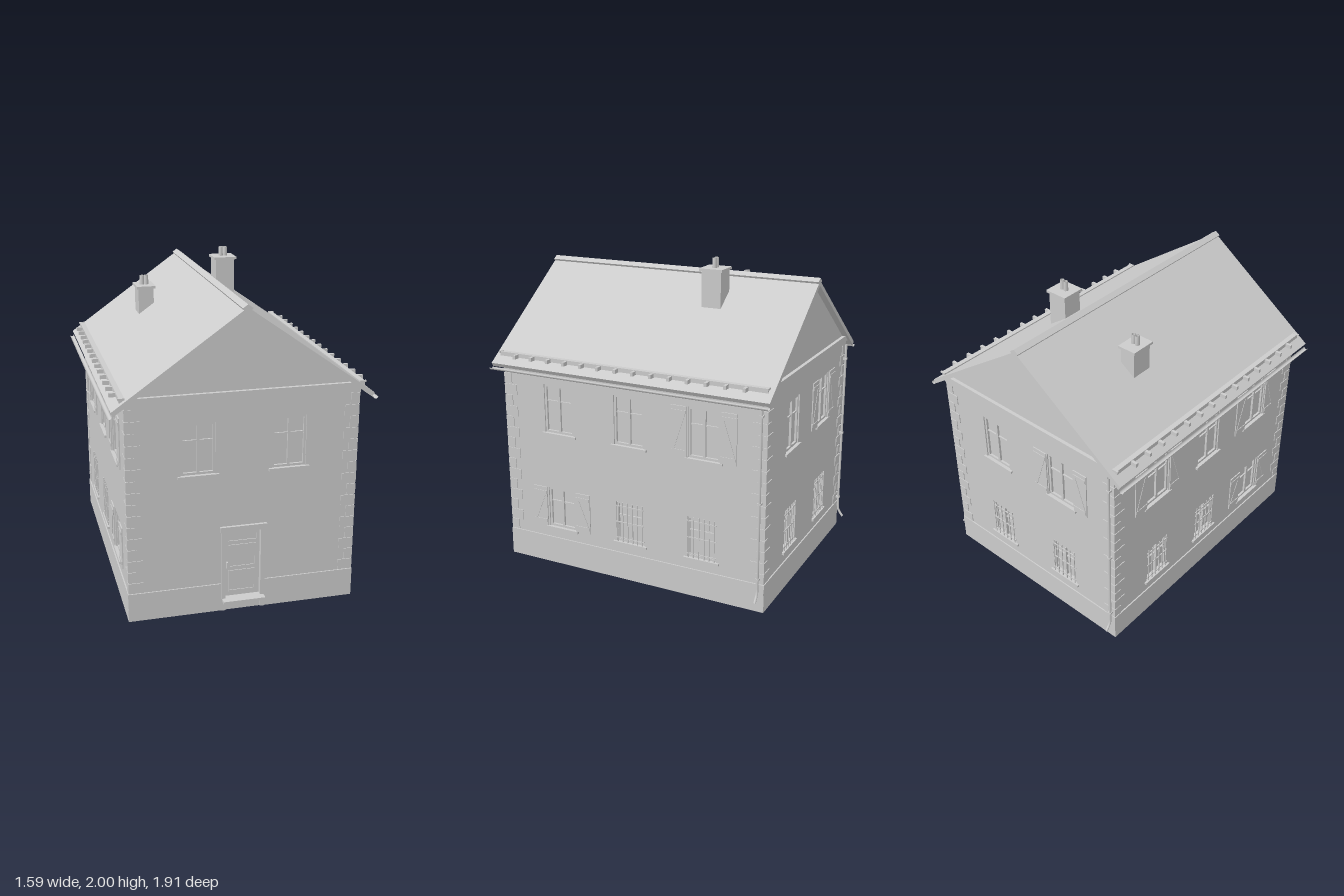
import * as THREE from 'three';

const mat = new THREE.MeshStandardMaterial({ color: 0xcccccc, side: THREE.DoubleSide });
const HX = 0.693, HZ = 0.893;        // wall half sizes
const ROOF_Z = 0.933, PEAK = 1.878, SLOPE = 0.707;
const roofY = x => PEAK - SLOPE * Math.abs(x);

function add(parent, name, geo, x = 0, y = 0, z = 0) {
  const m = new THREE.Mesh(geo, mat);
  m.name = name;
  m.position.set(x, y, z);
  parent.add(m);
  return m;
}
// box given by its limits
function box(parent, name, x0, x1, y0, y1, z0, z1) {
  return add(parent, name, new THREE.BoxGeometry(x1 - x0, y1 - y0, z1 - z0),
    (x0 + x1) / 2, (y0 + y1) / 2, (z0 + z1) / 2);
}
function group(parent, name) {
  const g = new THREE.Group();
  g.name = name;
  parent.add(g);
  return g;
}
const shapeOf = pts => new THREE.Shape(pts.map(p => new THREE.Vector2(...p)));
const extrude = (shape, depth) => new THREE.ExtrudeGeometry(shape, { depth, bevelEnabled: false });

// wall panel with rectangular openings [x0, x1, y0, y1]
function wall(parent, outline, openings) {
  const s = shapeOf(outline);
  for (const [a, b, c, d] of openings)
    s.holes.push(new THREE.Path([[a, c], [a, d], [b, d], [b, c]].map(p => new THREE.Vector2(...p))));
  add(parent, 'wall', extrude(s, 0.03), 0, 0, -0.03);
}

// rectangular frame of four bars
function frame(g, name, x0, x1, y0, y1, t, z0, z1) {
  box(g, name, x0, x0 + t, y0, y1, z0, z1);
  box(g, name, x1 - t, x1, y0, y1, z0, z1);
  box(g, name, x0 + t, x1 - t, y0, y0 + t, z0, z1);
  box(g, name, x0 + t, x1 - t, y1 - t, y1, z0, z1);
}

function addWindow(parent, { x, kind, o: [x0, x1, y0, y1] }) {
  const g = group(parent, kind + 'Window');
  box(g, 'glass', x0, x1, y0, y1, -0.026, -0.022);
  frame(g, 'windowFrame', x0, x1, y0, y1, 0.014, -0.022, -0.008);
  box(g, 'mullion', x - 0.008, x + 0.008, y0 + 0.014, y1 - 0.014, -0.022, -0.008);
  const ty = y0 + (y1 - y0) * 0.66;
  for (const s of [-1, 1])
    box(g, 'glazingBar', x + s * 0.048 - 0.04, x + s * 0.048 + 0.04, ty - 0.004, ty + 0.004, -0.022, -0.012);
  box(g, 'sill', x0 - 0.02, x1 + 0.02, y0 - 0.015, y0, -0.02, 0.014);

  if (kind === 'barred') {
    for (let i = 0; i < 6; i++) {
      const bx = x0 + 0.012 + (x1 - x0 - 0.024) * i / 5;
      box(g, 'bar', bx - 0.003, bx + 0.003, y0, y1, 0.001, 0.007);
    }
    for (const f of [0.1, 0.5, 0.9]) {
      const by = y0 + (y1 - y0) * f;
      box(g, 'crossBar', x0, x1, by - 0.003, by + 0.003, 0, 0.006);
    }
  }
  if (kind === 'shuttered') for (const s of [-1, 1]) {
    const sh = group(g, 'shutter');
    sh.position.set(x + s * 0.16, (y0 + y1) / 2, 0);
    const h = (y1 - y0) / 2, r = h - 0.035;
    box(sh, 'shutterBoard', -0.052, 0.052, -h, h, 0.002, 0.009);
    for (const ry of [-r, r]) box(sh, 'shutterRail', -0.048, 0.048, ry - 0.01, ry + 0.01, 0.009, 0.013);
    const brace = box(sh, 'shutterBrace', -0.007, 0.007, -r, r, 0.009, 0.012);
    brace.rotation.z = s * Math.atan2(0.08, 2 * r);
  }
}

const upper = (x, kind = 'plain') => ({ x, kind, o: [x - 0.103, x + 0.103, 0.9, 1.215] });
const lower = (x, kind = 'barred') => ({ x, kind, o: [x - 0.098, x + 0.098, 0.255, 0.523] });

function addDoor(f) {
  const g = group(f, 'door');
  box(g, 'doorLeaf', -0.108, 0.108, 0.08, 0.52, -0.03, -0.02);
  frame(g, 'doorLight', -0.095, 0.095, 0.44, 0.505, 0.008, -0.02, -0.014);
  for (const [y0, y1] of [[0.11, 0.25], [0.27, 0.42]])
    frame(g, 'doorPanel', -0.085, 0.085, y0, y1, 0.008, -0.02, -0.015);
  box(g, 'doorHandle', -0.098, -0.09, 0.27, 0.31, -0.02, -0.004);
  for (const s of [-1, 1]) {
    const jamb = s * 0.122;
    box(g, 'doorJamb', jamb - 0.014, jamb + 0.014, 0, 0.52, -0.03, 0.012);
  }
  box(g, 'doorHood', -0.143, 0.143, 0.52, 0.555, -0.03, 0.018);
  box(g, 'stepSlab', -0.13, 0.13, 0.062, 0.08, -0.03, 0.055);
  box(g, 'stepBase', -0.108, 0.108, 0, 0.062, -0.03, 0.004);
}

function addDownpipe(parent, x, z, angle) {
  // local +z points away from the wall
  const g = group(parent, 'downpipe');
  g.position.set(x, 0, z);
  g.rotation.y = angle;
  const path = new THREE.CurvePath();
  const pts = [[1.33, 0], [0.14, 0], [0.12, 0.005], [0.08, 0.037]].map(([y, d]) => new THREE.Vector3(0, y, d));
  for (let i = 1; i < pts.length; i++) path.add(new THREE.LineCurve3(pts[i - 1], pts[i]));
  add(g, 'pipe', new THREE.TubeGeometry(path, 40, 0.008, 8));
  for (const y of [0.22, 0.7, 1.23]) box(g, 'pipeBracket', -0.011, 0.011, y - 0.006, y + 0.006, -0.018, 0.01);
}

function addChimney(parent, x, z, w, d, top) {
  const g = group(parent, 'chimney');
  g.position.set(x, 0, z);
  const base = roofY(Math.abs(x) + w / 2) - 0.01;
  box(g, 'chimneyStack', -w / 2, w / 2, base, top, -d / 2, d / 2);
  box(g, 'chimneyCap', -w / 2 - 0.012, w / 2 + 0.012, top, top + 0.016, -d / 2 - 0.012, d / 2 + 0.012);
  for (const s of [-1, 1])
    add(g, 'chimneyPot', new THREE.LatheGeometry(
      [[0.015, 0], [0.014, 0.06], [0.01, 0.06], [0.01, 0.01]].map(p => new THREE.Vector2(...p)), 12), s * 0.014, top + 0.016, 0);
}

export function createModel() {
  const root = new THREE.Group();
  root.name = 'house';
  const house = group(root, 'houseBody');
  house.position.z = 0.005;

  // four sides, each built facing +z and turned into place
  const sides = [
    ['front', 0, [upper(-0.273), upper(0.273)]],
    ['right', 1, [upper(-0.5), upper(0), upper(0.5, 'shuttered'),
      lower(-0.5, 'shuttered'), lower(0), lower(0.49)]],
    ['back', 2, [upper(-0.273), upper(0.273, 'shuttered'), lower(-0.273), lower(0.273)]],
    ['left', 3, [upper(-0.5, 'shuttered'), upper(0), upper(0.5, 'shuttered'),
      lower(-0.49), lower(0), lower(0.5, 'shuttered')]],
  ];
  for (const [name, turn, windows] of sides) {
    const gable = turn % 2 === 0;
    const hw = gable ? HX : HZ - 0.001;
    const f = group(house, name + 'Side');
    const pivot = group(f, name + 'Face');
    f.rotation.y = turn * Math.PI / 2;
    pivot.position.z = gable ? HZ : HX;
    const under = roofY(HX) - 0.031;
    const top = gable ? [[hw, under], [0, PEAK - 0.031], [-hw, under]] : [[hw, under], [-hw, under]];
    const bottom = name === 'front'
      ? [[-hw, 0], [-0.108, 0], [-0.108, 0.52], [0.108, 0.52], [0.108, 0], [hw, 0]]
      : [[-hw, 0], [hw, 0]];
    wall(pivot, [...bottom, ...top], windows.map(w => w.o));
    windows.forEach(w => addWindow(pivot, w));

    // plinth, open at the door
    const spans = name === 'front' ? [[-hw - 0.007, -0.136], [0.136, hw + 0.007]] : [[-hw - 0.007, hw + 0.007]];
    for (const [a, b] of spans) box(pivot, 'plinth', a, b, 0, 0.18, -0.005, 0.008);

    // corner stones, long and short in turn
    const rows = 16, h = (1.33 - 0.18) / rows;
    for (let i = 0; i < rows; i++) for (const s of [-1, 1]) {
      const len = (i % 2 === 0) === gable ? 0.09 : 0.055;
      const c = s * (hw + 0.005 - len / 2);
      box(pivot, 'cornerStone', c - len / 2, c + len / 2, 0.18 + i * h + 0.003, 0.18 + (i + 1) * h - 0.003, -0.002, 0.005);
    }
    // cornice below the gable
    if (gable) {
      box(pivot, 'lowerCornice', -hw - 0.005, hw + 0.005, 1.33, 1.355, -0.002, 0.01);
      add(pivot, 'upperCornice', extrude(shapeOf([[-0.69, 1.355], [0.69, 1.355], [0.635, 1.395], [-0.635, 1.395]]), 0.022));
    }
    if (name === 'front') addDoor(pivot);
  }

  // roof slabs and ridge cap
  const chevron = (w, lift, t) => shapeOf([
    [-w, roofY(w) + lift], [-w + t * 0.5, roofY(w) + lift - t * 0.8], [0, PEAK + lift - t],
    [w - t * 0.5, roofY(w) + lift - t * 0.8], [w, roofY(w) + lift], [0, PEAK + lift]]);
  add(house, 'roof', extrude(chevron(0.773, 0, 0.03), ROOF_Z * 2), 0, 0, -ROOF_Z);
  add(house, 'ridgeCap', extrude(chevron(0.03, 0.017, 0.02), ROOF_Z * 2 + 0.002), 0, 0, -ROOF_Z - 0.001);

  for (const s of [-1, 1]) {
    // half-round gutter along the eave
    const gutter = add(house, 'gutter',
      new THREE.CylinderGeometry(0.014, 0.014, ROOF_Z * 2, 10, 1, true, -Math.PI / 2, Math.PI), s * 0.782, 1.306, 0);
    gutter.rotation.x = Math.PI / 2;
    // snow guard with brackets
    const edge = (name, a, b, y0, y1, z0, z1) =>
      box(house, name, Math.min(s * a, s * b), Math.max(s * a, s * b), y0, y1, z0, z1);
    edge('snowRail', 0.69, 0.722, 1.372, 1.398, -0.9, 0.9);
    for (const z of [-0.9, 0.9]) edge('snowRailEnd', 0.69, 0.73, 1.39, 1.4, z - 0.006, z + 0.006);
    for (let i = 0; i < 14; i++) {
      const z = -0.775 + i * 0.1188;
      edge('snowBracket', 0.72, 0.76, 1.37, 1.394, z - 0.009, z + 0.009);
    }
  }

  addChimney(house, -0.353, -0.313, 0.1, 0.14, 1.76);
  addChimney(house, 0.186, -0.333, 0.126, 0.128, 1.924);
  addDownpipe(house, 0.714, -0.865, Math.PI / 2);
  addDownpipe(house, -0.67, -0.914, Math.PI);
  return root;
}
